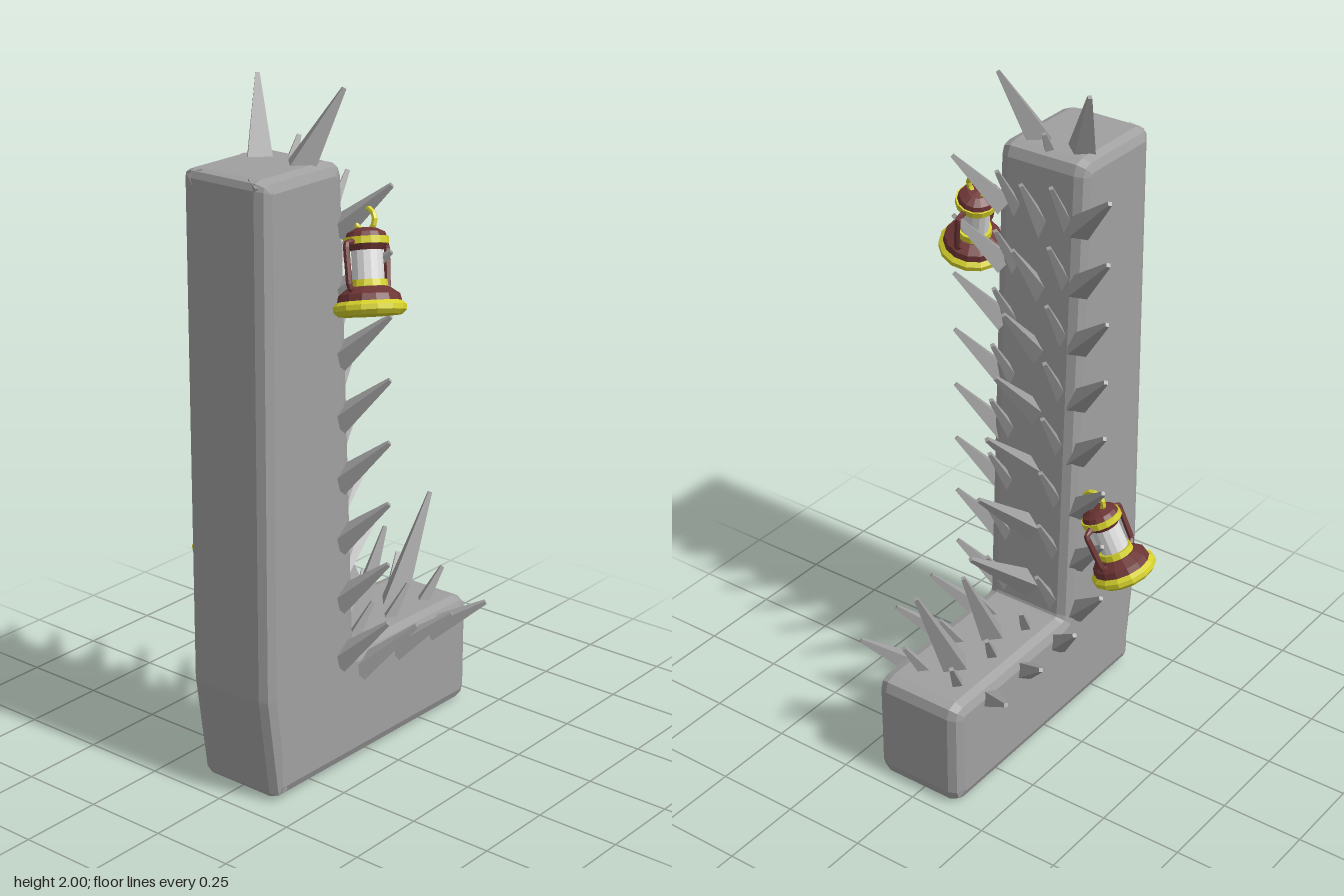
import * as THREE from 'three';

const V = (x, y, z) => new THREE.Vector3(x, y, z);
const UP = V(0, 1, 0);
const CX = 0.01; // middle of the body in x

export function createModel() {
  const model = new THREE.Group();
  const mat = (name, color, flatShading = true) => {
    const m = new THREE.MeshStandardMaterial({ color, flatShading });
    m.name = name;
    return m;
  };
  const stone = mat('stone grey', 0xa0a0a0);
  const red = mat('dark red', 0x6e3535);
  const yellow = mat('yellow', 0xd6d22c);
  const glass = mat('pale glass', 0xdedede);

  const add = (parent, name, geo, material) => {
    const mesh = new THREE.Mesh(geo, material);
    mesh.name = name;
    parent.add(mesh);
    return mesh;
  };

  // L-shaped body: rounded side outline, extruded across x with bevels
  const bevel = 0.035;
  const outline = [[0.46, 1.805], [0.135, 1.805], [0.075, 0.355], [-0.46, 0.345],
    [-0.46, 0.005], [0.42, 0.018], [0.463, 0.33]].map(([z, y]) => new THREE.Vector2(-z, y));
  const radii = [0.025, 0.04, 0.01, 0.04, 0.04, 0.01, 0.01];
  const shape = new THREE.Shape();
  outline.forEach((p, i) => {
    const n = outline.length;
    const toward = (q) => q.clone().sub(p).setLength(radii[i]).add(p);
    const a = toward(outline[(i + n - 1) % n]);
    const b = toward(outline[(i + 1) % n]);
    if (i === 0) shape.moveTo(a.x, a.y); else shape.lineTo(a.x, a.y);
    shape.quadraticCurveTo(p.x, p.y, b.x, b.y);
  });
  shape.closePath();
  const bodyGeo = new THREE.ExtrudeGeometry(shape, {
    depth: 0.29 - 2 * bevel, bevelEnabled: true, bevelThickness: bevel,
    bevelSize: bevel, bevelOffset: -bevel, bevelSegments: 2, curveSegments: 2,
  });
  bodyGeo.translate(0, 0, -(0.29 - 2 * bevel) / 2).rotateY(Math.PI / 2).translate(CX, 0, 0);
  add(model, 'body', bodyGeo, stone);

  // Four-sided blunt spike from a point on the surface to its tip
  const spikes = new THREE.Group();
  spikes.name = 'spikes';
  model.add(spikes);
  const spike = (name, base, tip, r, sink = 0.03) => {
    const dir = tip.clone().sub(base).normalize();
    const start = base.clone().addScaledVector(dir, -sink);
    const len = start.distanceTo(tip);
    const mesh = add(spikes, name,
      new THREE.CylinderGeometry(0.008, r, len, 4).translate(0, len / 2, 0), stone);
    mesh.position.copy(start);
    mesh.quaternion.setFromUnitVectors(UP, dir);
  };

  for (const s of [-1, 1]) {
    // Column spikes along each side
    for (let i = 0; i < 8; i++) {
      const y = 0.48 + 0.181 * i;
      spike('sideSpike', V(CX + s * 0.145, y - 0.115, 0.13), V(CX + s * 0.262, y, 0.083), 0.04);
    }
    // Foot spikes along each side
    for (let i = 0; i < 3; i++) {
      const z = -0.05 - 0.167 * i;
      spike('footSideSpike', V(CX + s * 0.145, 0.3, z + 0.085), V(CX + s * 0.262, 0.425 - 0.022 * i, z), 0.037);
      spike('footTopSpike', V(CX + s * 0.06, 0.34, z + 0.04), V(CX + s * 0.085, 0.44, z - 0.02), 0.025);
    }
    // Small spikes up the back, either side of the middle row
    for (let i = 0; i < 8; i++) {
      const y = 0.4 + 0.175 * i;
      spike('backSpike', V(CX + s * 0.085, y, 0.085 + 0.007 * i), V(CX + s * 0.09, y + 0.13, 0.0 + 0.008 * i), 0.024);
    }
    // Large horns on top and the reversed ones at the front corners
    spike('topHorn', V(CX + s * 0.075, 1.8, 0.225), V(CX + s * 0.15, 2.0, 0.145), 0.05);
    spike('cornerSpike', V(CX + s * 0.098, 1.775, 0.435), V(CX + s * 0.05, 1.67, 0.445), 0.032, 0.02);
  }
  spike('topSpike', V(CX, 1.79, 0.18), V(CX, 1.855, 0.15), 0.025);

  // Long spikes up the middle of the back, shorter toward the top
  for (let i = 0; i < 7; i++) {
    spike('spineSpike', V(CX, 0.43 + 0.193 * i, 0.085 + 0.009 * i),
      V(CX + 0.005, 0.66 + 0.18 * i, -0.19 + 0.04 * i), 0.043 - 0.002 * i);
  }
  // Large spikes on top of the foot
  spike('footSpineSpike', V(CX, 0.345, -0.1), V(CX + 0.01, 0.61, -0.22), 0.047);
  spike('footSpineSpike', V(CX, 0.345, -0.28), V(CX + 0.015, 0.655, -0.43), 0.05);

  // Lantern standing on its local origin, tilted from its foot toward its cap
  const lantern = (name, foot, cap) => {
    const g = new THREE.Group();
    g.name = name;
    const ring = (part, r0, r1, y0, y1, m) =>
      add(g, part, new THREE.CylinderGeometry(r1, r0, y1 - y0, 14).translate(0, (y0 + y1) / 2, 0), m);
    const lathe = (part, pts, m) =>
      add(g, part, new THREE.LatheGeometry(pts.map(([x, y]) => new THREE.Vector2(x, y)), 14), m);
    lathe('baseRim', [[0, 0], [0.085, 0], [0.098, 0.012], [0.098, 0.026], [0.085, 0.038], [0, 0.038]], yellow);
    lathe('baseCone', [[0.087, 0.034], [0.082, 0.055], [0.055, 0.075], [0, 0.08]], red);
    ring('lowerCollar', 0.052, 0.05, 0.076, 0.094, yellow);
    ring('glass', 0.042, 0.042, 0.09, 0.18, glass);
    ring('upperCollar', 0.043, 0.056, 0.172, 0.19, red);
    ring('capBand', 0.06, 0.06, 0.188, 0.207, yellow);
    lathe('capDome', [[0.056, 0.205], [0.05, 0.22], [0.026, 0.232], [0, 0.234]], red);
    const loop = add(g, 'hangingRing', new THREE.TorusGeometry(0.032, 0.008, 6, 12), yellow);
    loop.position.y = 0.254;
    // Bent side handles
    for (const s of [-1, 1]) {
      const pts = [[0.05, 0.195], [0.082, 0.19], [0.085, 0.18], [0.08, 0.075], [0.06, 0.06]];
      const path = new THREE.CurvePath();
      for (let i = 1; i < pts.length; i++) {
        path.add(new THREE.LineCurve3(V(0, pts[i - 1][1], s * pts[i - 1][0]), V(0, pts[i][1], s * pts[i][0])));
      }
      add(g, 'sideHandle', new THREE.TubeGeometry(path, 16, 0.009, 6), red);
    }
    g.position.copy(foot);
    g.quaternion.setFromUnitVectors(UP, cap.clone().sub(foot).normalize());
    model.add(g);
  };
  lantern('leftLantern', V(0.283, 1.415, 0.185), V(0.222, 1.63, 0.13));
  lantern('rightLantern', V(-0.29, 0.54, 0.155), V(-0.197, 0.765, 0.125));

  return model;
}
